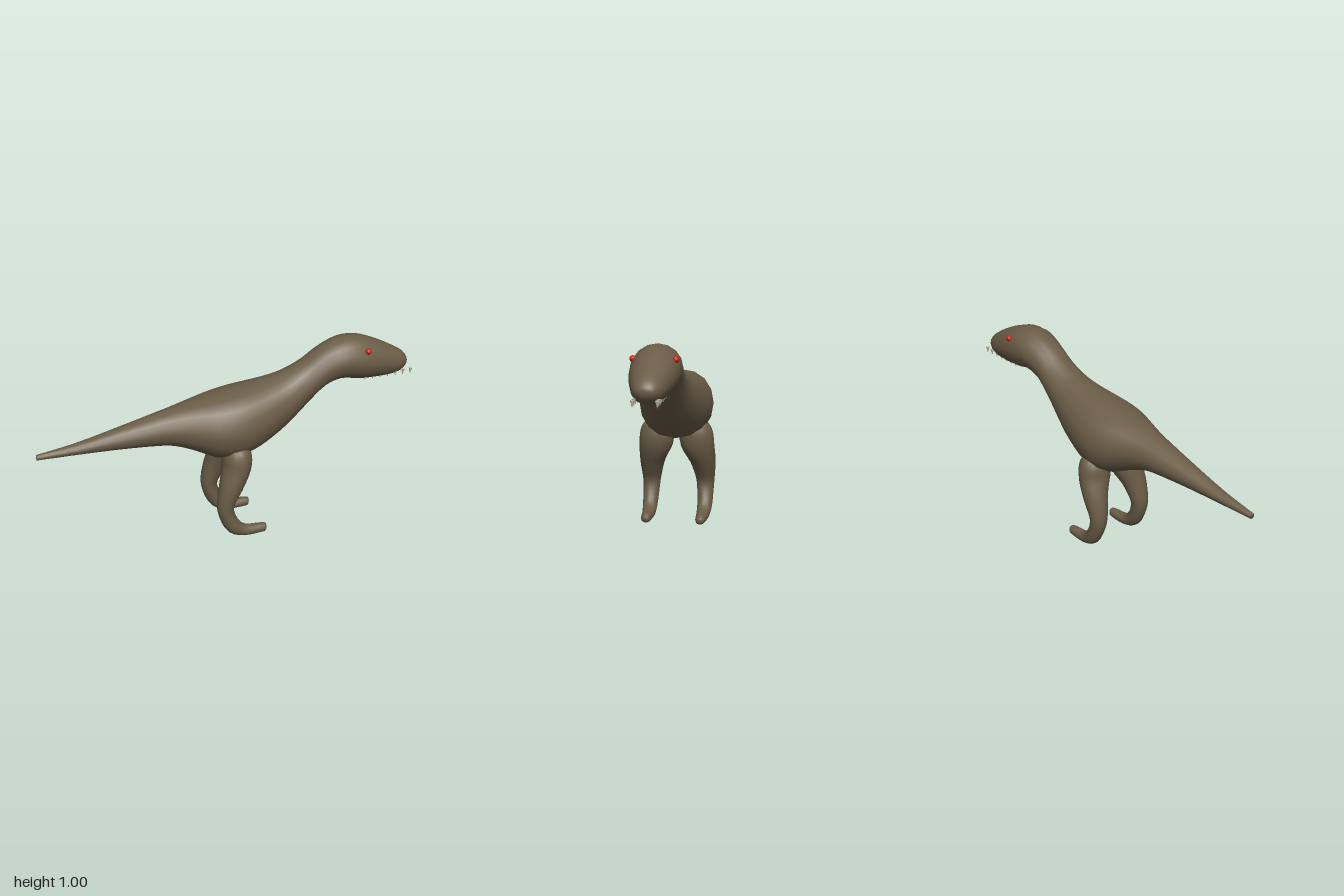
import * as THREE from 'three';

const skin = new THREE.MeshStandardMaterial({ color: 0x6b5d47 });
skin.name = 'brown skin';
const red = new THREE.MeshStandardMaterial({ color: 0xc8200f });
red.name = 'red eye';
const ivory = new THREE.MeshStandardMaterial({ color: 0xcfc6ae });
ivory.name = 'ivory tooth';

const curve = (pts) => new THREE.CatmullRomCurve3(
  pts.map((p) => new THREE.Vector3(...p)), false, 'catmullrom', 0.5);

// Closed skin through rings; ringAt(t) gives centre, tangent, in-plane radius, z radius and side fullness.
function loft(ringAt, steps, sides) {
  const pos = [], index = [];
  for (let i = 0; i <= steps; i++) {
    const { c, t, rn, rz, full = 1 } = ringAt(i / steps);
    for (let j = 0; j < sides; j++) {
      const a = (j / sides) * Math.PI * 2, n = rn * Math.cos(a), s = Math.sin(a);
      const w = rz * Math.sign(s) * Math.pow(Math.abs(s), full);
      pos.push(c.x - t.y * n, c.y + t.x * n, c.z + w);
    }
  }
  const c0 = ringAt(0).c, c1 = ringAt(1).c, first = (steps + 1) * sides;
  pos.push(c0.x, c0.y, c0.z, c1.x, c1.y, c1.z);
  for (let j = 0; j < sides; j++) {
    const k = (j + 1) % sides, last = steps * sides;
    for (let i = 0; i < steps; i++) {
      const a = i * sides + j, b = i * sides + k;
      index.push(a, b, a + sides, b, b + sides, a + sides);
    }
    index.push(first, k, j, first + 1, last + j, last + k);
  }
  const g = new THREE.BufferGeometry();
  g.setAttribute('position', new THREE.Float32BufferAttribute(pos, 3));
  g.setIndex(index);
  g.computeVertexNormals();
  return g;
}

function add(parent, name, geometry, material, x = 0, y = 0, z = 0) {
  const m = new THREE.Mesh(geometry, material);
  m.name = name;
  m.position.set(x, y, z);
  parent.add(m);
  return m;
}

// Tail, trunk, neck and head in one: x, top, bottom, half width
const bodySections = [
  [-1, 0.588, 0.56, 0.014], [-0.8, 0.618, 0.56, 0.035], [-0.6, 0.664, 0.557, 0.058],
  [-0.4, 0.712, 0.548, 0.086], [-0.3, 0.735, 0.535, 0.105], [-0.2, 0.757, 0.498, 0.138],
  [-0.1, 0.776, 0.452, 0.175], [0, 0.793, 0.433, 0.188], [0.1, 0.808, 0.453, 0.178],
  [0.2, 0.825, 0.5, 0.155], [0.3, 0.852, 0.565, 0.127], [0.4, 0.9, 0.655, 0.108],
  [0.5, 0.965, 0.745, 0.105], [0.6, 1.003, 0.782, 0.117], [0.7, 1.002, 0.766, 0.12],
  [0.8, 0.967, 0.761, 0.106], [0.9, 0.916, 0.764, 0.082], [0.95, 0.884, 0.784, 0.06],
  [0.973, 0.859, 0.81, 0.035], [0.979, 0.843, 0.832, 0.008],
];

function bodyGeometry() {
  const outline = curve(bodySections.map(([x, top, bottom]) => [x, top, bottom]));
  const width = curve(bodySections.map(([x, , , w]) => [x, w, 0]));
  const forward = new THREE.Vector3(1, 0, 0);
  return loft((u) => {
    const p = outline.getPoint(u);
    return {
      c: new THREE.Vector3(p.x, (p.y + p.z) / 2, 0), t: forward,
      rn: (p.y - p.z) / 2, rz: width.getPoint(u).y,
      full: 1 - 0.18 * Math.exp(-((p.x / 0.25) ** 2)),
    };
  }, (bodySections.length - 1) * 3, 16);
}

// Leg from hip to toe: x, y, z, radius along the side plane, radius in z
const legSections = [
  [0.005, 0.532, 0.1, 0.02, 0.025], [0.008, 0.515, 0.1, 0.058, 0.066],
  [0.012, 0.47, 0.103, 0.075, 0.086], [0.005, 0.4, 0.108, 0.075, 0.088],
  [-0.03, 0.31, 0.132, 0.063, 0.067], [-0.062, 0.215, 0.141, 0.047, 0.05],
  [-0.056, 0.145, 0.143, 0.042, 0.043], [-0.018, 0.072, 0.144, 0.041, 0.039],
  [0.045, 0.038, 0.142, 0.03, 0.034], [0.14, 0.034, 0.141, 0.025, 0.026],
  [0.155, 0.033, 0.141, 0.019, 0.02], [0.161, 0.033, 0.141, 0.007, 0.007],
];

function legGeometry(side) {
  const path = curve(legSections.map(([x, y, z]) => [x, y, z * side]));
  const radii = curve(legSections.map(([, , , rn, rz]) => [rn, rz, 0]));
  return loft((u) => {
    const t = path.getTangent(u).setZ(0).normalize(), r = radii.getPoint(u);
    return { c: path.getPoint(u), t, rn: r.x, rz: r.y };
  }, (legSections.length - 1) * 3, 16);
}

export function createModel() {
  const model = new THREE.Group();
  model.name = 'dinosaur';
  add(model, 'body', bodyGeometry(), skin);

  const eye = new THREE.SphereGeometry(0.016, 12, 8);
  const tooth = new THREE.ConeGeometry(0.01, 0.035, 8).rotateX(Math.PI);
  for (const side of [1, -1]) {
    const label = side > 0 ? 'front' : 'back';
    add(model, label + 'Leg', legGeometry(side), skin);
    add(model, label + 'Eye', eye, red, 0.72, 0.946, side * 0.1);

    // Row of upper teeth
    const row = new THREE.Group();
    row.name = label + 'Teeth';
    for (let i = 0; i < 7; i++) {
      add(row, 'tooth', tooth, ivory, 0.986 - i * 0.043, 0.782, side * 0.056);
    }
    model.add(row);
  }
  return model;
}
